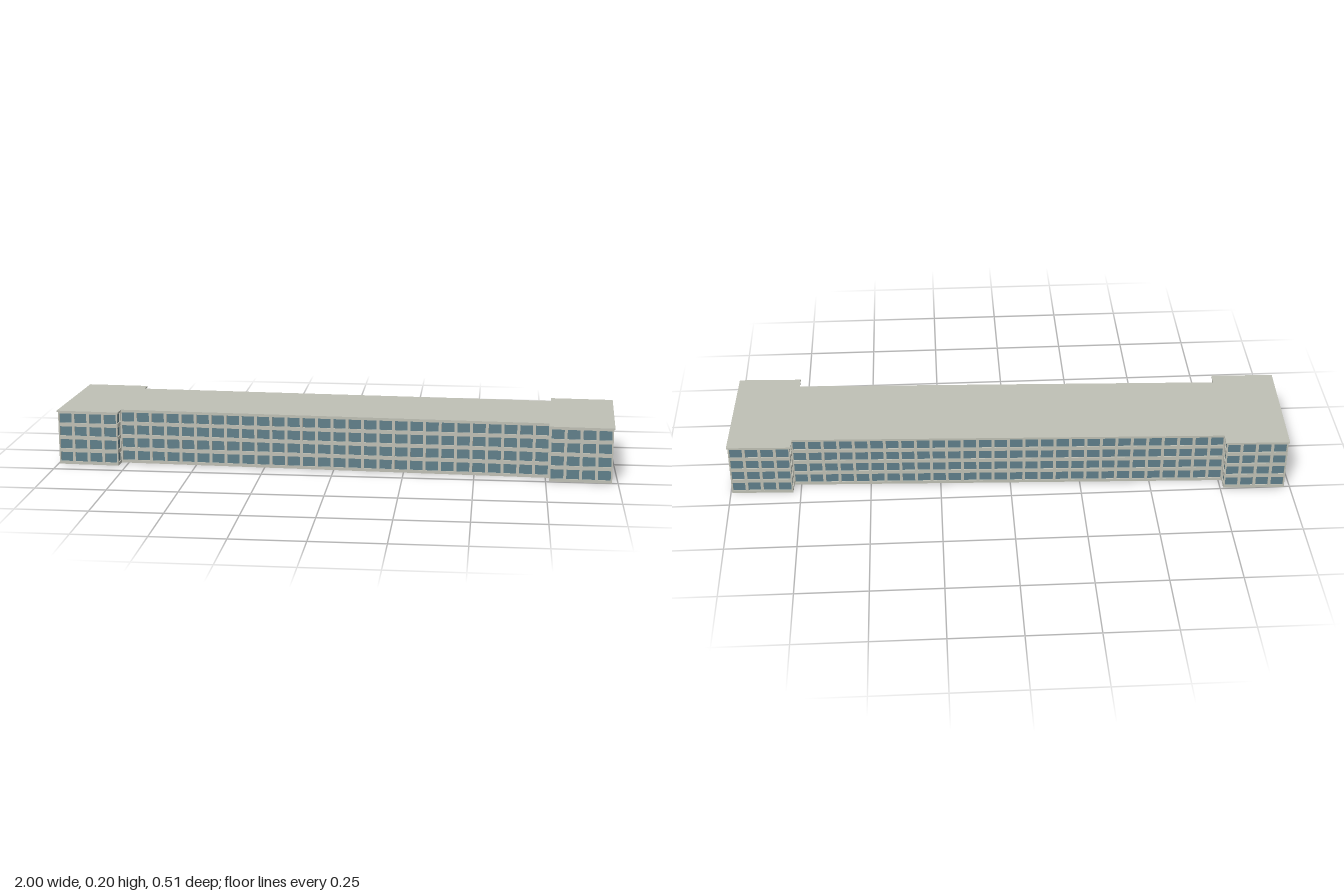
import * as THREE from 'three';

const WALL_H = 0.193, ROOF_T = 0.005, DEPTH = 0.004;
const FLOORS = 4, FLOOR_H = 0.0475, SILL = 0.0107, WIN_H = 0.034, BAY = 0.055;

// Footprint corners [x, z] with two wings wider than the body, pushed outward by o
function footprint(o) {
  const L = 0.988 + o, W = 0.216 + o, inner = 0.77 - o, B = 0.17 + o;
  return [
    [-L, W], [-inner, W], [-inner, B], [inner, B], [inner, W], [L, W],
    [L, -W], [inner, -W], [inner, -B], [-inner, -B], [-inner, -W], [-L, -W],
  ];
}

function rectPath(path, x, y, w, h) {
  path.moveTo(x, y);
  path.lineTo(x + w, y);
  path.lineTo(x + w, y + h);
  path.lineTo(x, y + h);
  path.closePath();
  return path;
}

// One facade: a pierced wall with glass set at its inner face
function facade(length, wallMat, glassMat) {
  const group = new THREE.Group();
  const shape = rectPath(new THREE.Shape(), 0, 0, length, WALL_H);
  const panes = [];
  const bays = Math.max(1, Math.round(length / BAY));
  const bay = length / bays, width = bay * 0.81;
  for (let i = 0; i < bays; i++) {
    for (let j = 0; j < FLOORS; j++) {
      const x = i * bay + (bay - width) / 2, y = SILL + j * FLOOR_H;
      shape.holes.push(rectPath(new THREE.Path(), x, y, width, WIN_H));
      panes.push(rectPath(new THREE.Shape(), x, y, width, WIN_H));
    }
  }
  const wall = new THREE.Mesh(
    new THREE.ExtrudeGeometry(shape, { depth: DEPTH, bevelEnabled: false }), wallMat);
  wall.name = 'wall';
  wall.position.z = -DEPTH;
  const glass = new THREE.Mesh(new THREE.ShapeGeometry(panes), glassMat);
  glass.name = 'windows';
  glass.position.z = -DEPTH;
  group.add(wall, glass);
  return group;
}

export function createModel() {
  const model = new THREE.Group();
  model.name = 'officeBlock';
  const concrete = new THREE.MeshStandardMaterial({ color: 0xbfc0b5 });
  concrete.name = 'concrete';
  const glass = new THREE.MeshStandardMaterial({ color: 0x5f7f8a, side: THREE.DoubleSide });
  glass.name = 'window glass';

  // The block stands slightly turned
  const building = new THREE.Group();
  building.name = 'building';
  building.rotation.y = -0.0375;
  model.add(building);

  // Facades around the footprint
  const corners = footprint(0);
  corners.forEach(([x, z], i) => {
    const [x2, z2] = corners[(i + 1) % corners.length];
    const side = facade(Math.hypot(x2 - x, z2 - z), concrete, glass);
    side.name = 'facade' + (i + 1);
    side.position.set(x, 0, z);
    side.rotation.y = Math.atan2(z - z2, x2 - x);
    building.add(side);
  });

  // Flat roof slab, overhanging the walls a little
  const outline = new THREE.Shape(footprint(0.004).map(([x, z]) => new THREE.Vector2(x, -z)));
  const roof = new THREE.Mesh(
    new THREE.ExtrudeGeometry(outline, { depth: ROOF_T, bevelEnabled: false }), concrete);
  roof.name = 'roof';
  roof.rotation.x = -Math.PI / 2;
  roof.position.y = WALL_H;
  building.add(roof);

  return model;
}
